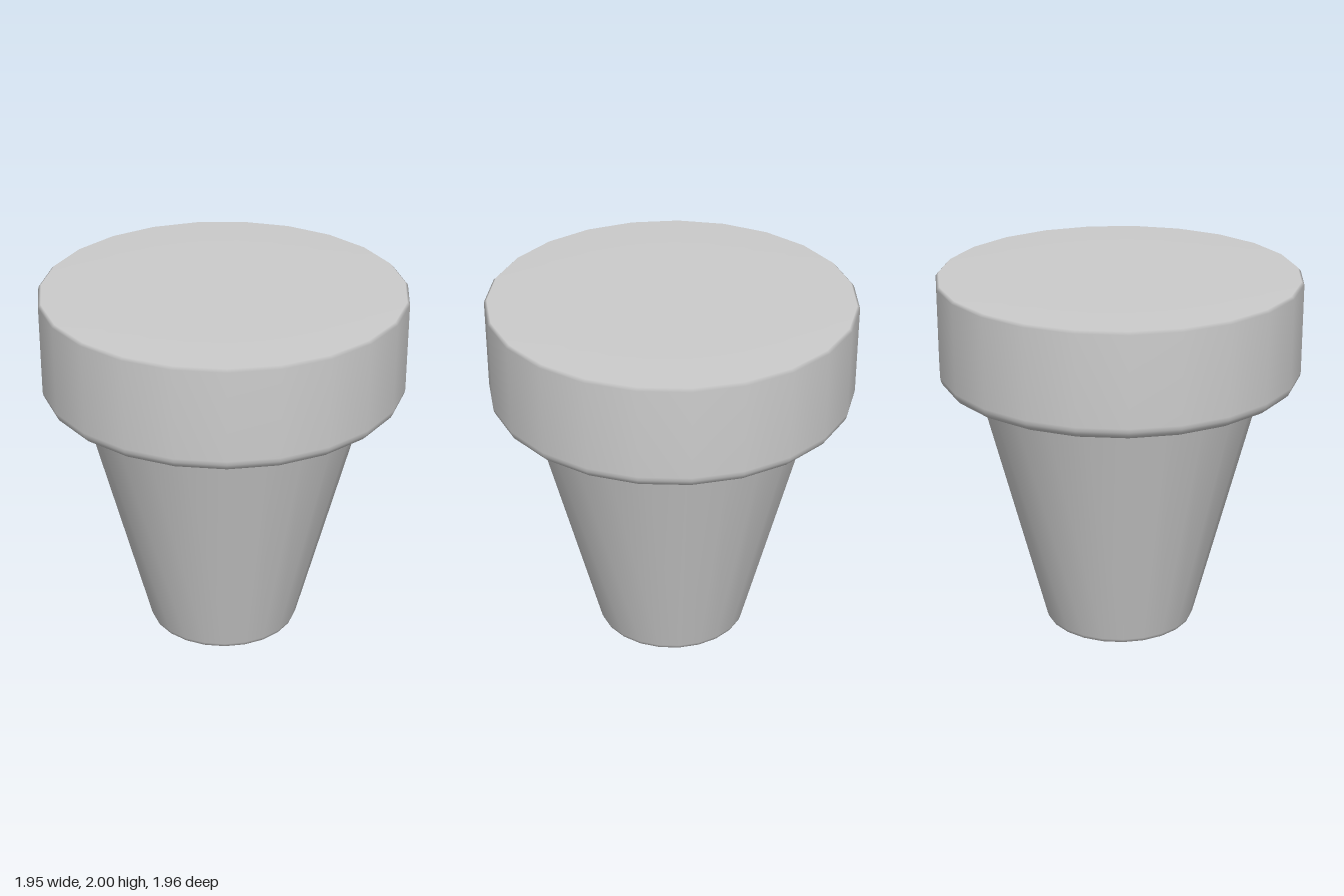
import * as THREE from 'three';

const SIDES = 23;
const material = new THREE.MeshStandardMaterial({ color: 0xcccccc });

// Revolve a list of [radius, height] pairs, with one corner pointing to -x
function turned(name, profile) {
  const points = profile.map(([r, y]) => new THREE.Vector2(r, y));
  const mesh = new THREE.Mesh(new THREE.LatheGeometry(points, SIDES, -Math.PI / 2), material);
  mesh.name = name;
  return mesh;
}

// Quarter-round from straight down to straight out
function roundedCorner(r, y, radius, steps = 5) {
  return Array.from({ length: steps + 1 }, (_, i) => {
    const a = -Math.PI / 2 + (i / steps) * Math.PI / 2;
    return [r + radius * Math.cos(a), y + radius * Math.sin(a)];
  });
}

export function createModel() {
  const group = new THREE.Group();
  group.name = 'plug';

  // Wide head: flat underside, rounded lower edge, softly shaded flat top
  group.add(turned('head', [
    [0.80, 1.43],
    ...roundedCorner(0.91, 1.50, 0.07),
    [0.98, 1.985],
    [0.965, 2],
    [0.5, 2],
    [0, 2],
  ]));

  // Tapered shaft with a rounded lip and a small fillet under the head
  group.add(turned('shaft', [
    [0.35, 0.03],
    [0.36, 0.008],
    [0.38, 0],
    [0.40, 0],
    [0.413, 0.006],
    [0.42, 0.025],
    [0.772, 1.40],
    [0.782, 1.422],
    [0.80, 1.43],
  ]));

  // Blind hole running up inside the shaft
  group.add(turned('boreWall', [[0.35, 1.4], [0.35, 0.03]]));
  group.add(turned('boreEnd', [[0, 1.4], [0.35, 1.4]]));

  return group;
}
